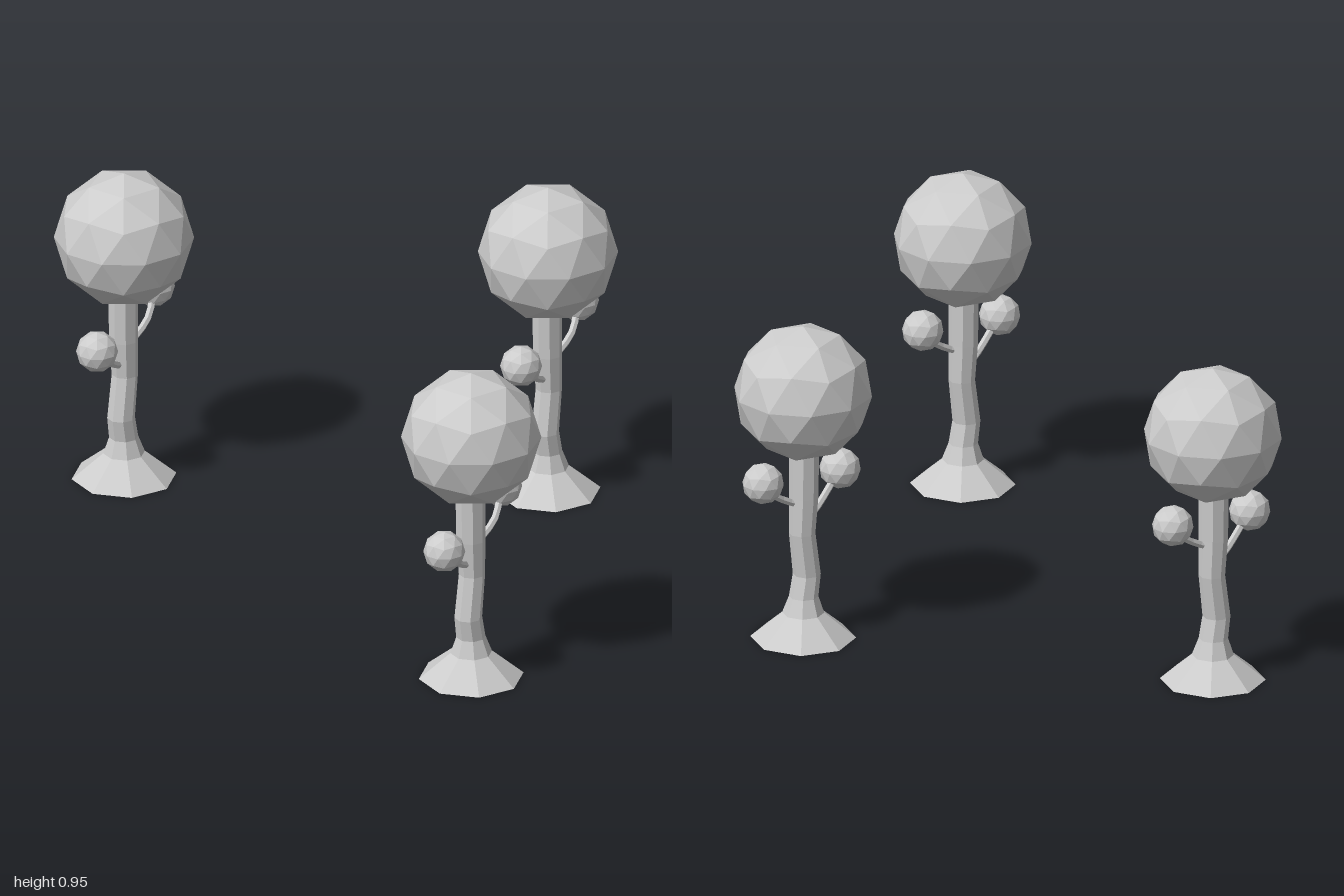
import * as THREE from 'three';

const material = new THREE.MeshStandardMaterial({ color: 0xcccccc, flatShading: true });

function part(name, geometry) {
  const mesh = new THREE.Mesh(geometry, material);
  mesh.name = name;
  return mesh;
}

// Faceted ball of 80 triangles, turned so one of its five-way corners points up
function ball(name, radius, x, y, z) {
  const geometry = new THREE.IcosahedronGeometry(radius, 1);
  geometry.rotateZ(-Math.atan(2 / (1 + Math.sqrt(5))));
  const mesh = part(name, geometry);
  mesh.position.set(x, y, z);
  return mesh;
}

// Eight-sided trunk: each ring is [height, radius, x offset], top to bottom
function trunkGeometry() {
  const rings = [
    [0.6, 0.043, -0.004],
    [0.43, 0.042, -0.002],
    [0.32, 0.038, 0.004],
    [0.19, 0.04, -0.014],
    [0.125, 0.042, -0.002],
    [0.075, 0.06, 0],
    [0, 0.151, 0],
  ];
  const last = rings.length - 1;
  const geometry = new THREE.CylinderGeometry(1, 1, 1, 8, last);
  const pos = geometry.attributes.position;
  for (let i = 0; i < pos.count; i++) {
    const [y, r, dx] = rings[Math.round((0.5 - pos.getY(i)) * last)];
    pos.setXYZ(i, pos.getX(i) * r + dx, y, pos.getZ(i) * r);
  }
  geometry.computeVertexNormals();
  return geometry;
}

// Thin curved branch through a few points
function branchGeometry(points) {
  const curve = new THREE.CatmullRomCurve3(points.map((p) => new THREE.Vector3(...p)));
  return new THREE.TubeGeometry(curve, 6, 0.011, 6);
}

function createTree() {
  const tree = new THREE.Group();
  tree.add(
    part('trunk', trunkGeometry()),
    ball('crown', 0.2, 0, 0.75, 0),
    part('rightBranch', branchGeometry([[-0.01, 0.355, 0], [-0.05, 0.37, 0.008], [-0.1, 0.4, 0.02], [-0.17, 0.463, 0.03]])),
    ball('rightLeafBall', 0.06, -0.17, 0.463, 0.03),
    part('leftBranch', branchGeometry([[0.015, 0.41, 0], [0.05, 0.425, 0.006], [0.11, 0.46, 0.005], [0.178, 0.524, -0.025]])),
    ball('leftLeafBall', 0.06, 0.178, 0.524, -0.025),
  );
  return tree;
}

export function createModel() {
  const model = new THREE.Group();
  model.name = 'trees';
  // Three identical trees at scattered spots
  [[-0.575, 0.796], [-0.075, -0.8], [0.563, 0.23]].forEach(([x, z], i) => {
    const tree = createTree();
    tree.name = `tree${i + 1}`;
    tree.position.set(x, 0, z);
    model.add(tree);
  });
  return model;
}
